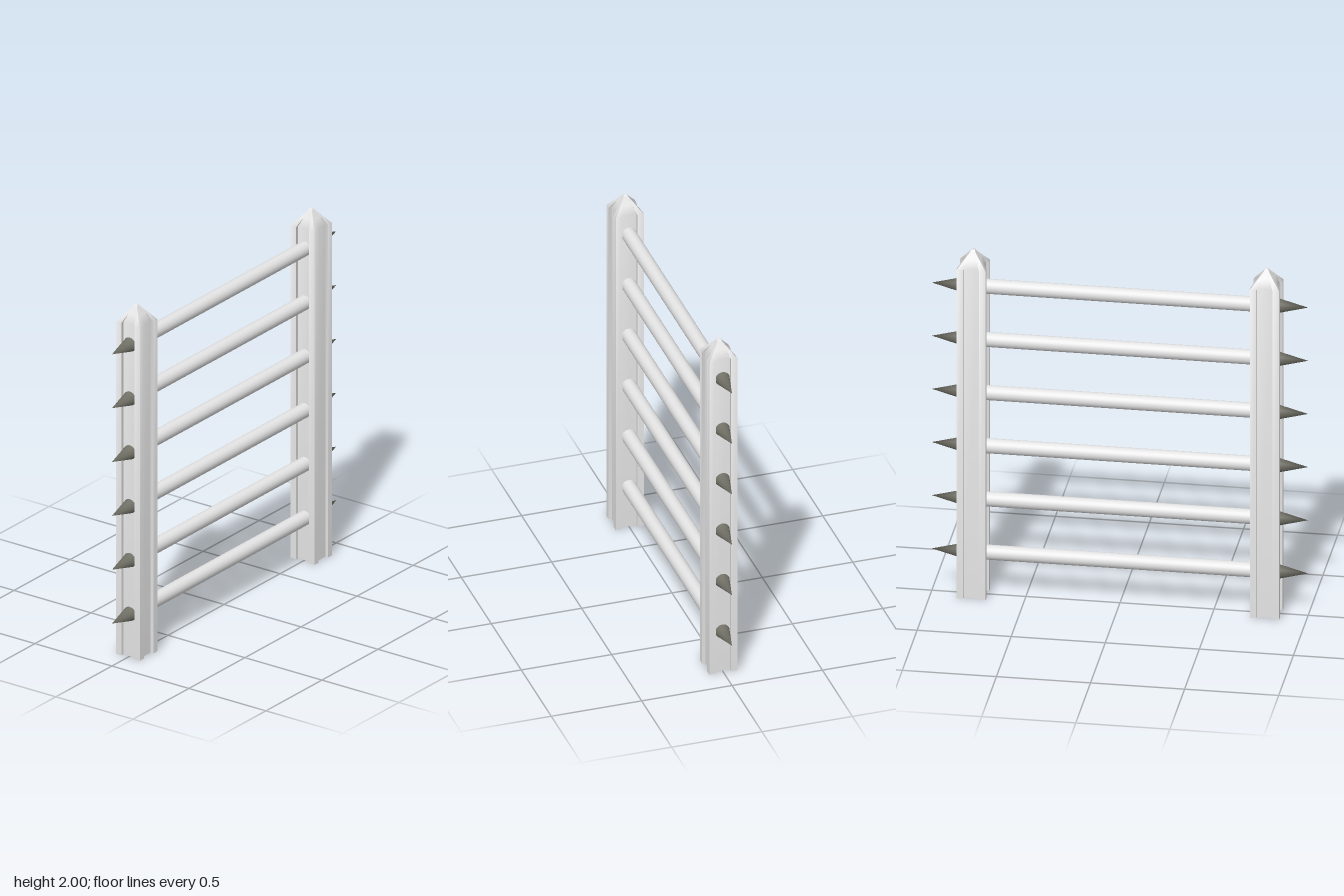
import * as THREE from 'three';
import { mergeVertices, toCreasedNormals } from 'three/addons/utils/BufferGeometryUtils.js';

const POST_Z = 0.78;
const RUNGS = 6;

// Grooved square ring: one side turned four times, running from +z towards +x
function postRing([y, half, groove]) {
  const edge = half * 0.54;
  let side = [[-edge, half], [-edge, half - groove], [edge, half - groove], [edge, half], [half, half]];
  const ring = [];
  for (let k = 0; k < 4; k++) {
    ring.push(...side.map(([x, z]) => new THREE.Vector3(x, y, z)));
    side = side.map(([x, z]) => [z, -x]);
  }
  return ring;
}

// Rings lofted up the shaft; the grooves run out in the pointed cap. Open underneath
function postGeometry() {
  const rings = [
    [0, 0.078, 0.018], [1.903, 0.078, 0.018], [1.95, 0.041, 0],
    [1.982, 0.016, 0], [1.995, 0.009, 0], [2, 0.001, 0],
  ].map(postRing);
  const points = [];
  const addTriangle = (a, b, c) => {
    if (new THREE.Triangle(a, b, c).getArea() > 1e-9) points.push(a, b, c);
  };
  for (let r = 0; r < rings.length - 1; r++) {
    const low = rings[r], high = rings[r + 1];
    for (let i = 0; i < low.length; i++) {
      const j = (i + 1) % low.length;
      addTriangle(low[i], low[j], high[j]);
      addTriangle(low[i], high[j], high[i]);
    }
  }
  return toCreasedNormals(new THREE.BufferGeometry().setFromPoints(points), 0.9);
}

// Cone with normals blended at the tip, pointing along +z
function spikeGeometry() {
  const cone = new THREE.ConeGeometry(0.042, 0.17, 24, 1, true).rotateX(Math.PI / 2);
  cone.deleteAttribute('normal');
  cone.deleteAttribute('uv');
  const spike = mergeVertices(cone);
  spike.computeVertexNormals();
  return spike;
}

export function createModel() {
  const group = new THREE.Group();
  group.name = 'spikedLadderFence';
  const paleMetal = new THREE.MeshStandardMaterial({ color: 0xe4e4e4, side: THREE.DoubleSide });
  paleMetal.name = 'paleMetal';
  const darkMetal = new THREE.MeshStandardMaterial({ color: 0x74746a });
  darkMetal.name = 'darkMetal';

  const add = (name, geometry, material, y, z) => {
    const mesh = new THREE.Mesh(geometry, material);
    mesh.name = name;
    mesh.position.set(0, y, z);
    group.add(mesh);
    return mesh;
  };

  const post = postGeometry();
  const rung = new THREE.CylinderGeometry(0.04, 0.04, 1.45, 24, 1, true).rotateX(Math.PI / 2);
  const spike = spikeGeometry();

  // Two posts
  add('frontPost', post, paleMetal, 0, POST_Z);
  add('backPost', post, paleMetal, 0, -POST_Z);

  // Rungs, each with a spike outside either post
  for (let i = 0; i < RUNGS; i++) {
    const y = 0.243 + i * 0.3085;
    add('rung', rung, paleMetal, y, 0);
    add('frontSpike', spike, darkMetal, y, 0.915);
    add('backSpike', spike, darkMetal, y, -0.915).rotation.y = Math.PI;
  }
  return group;
}
